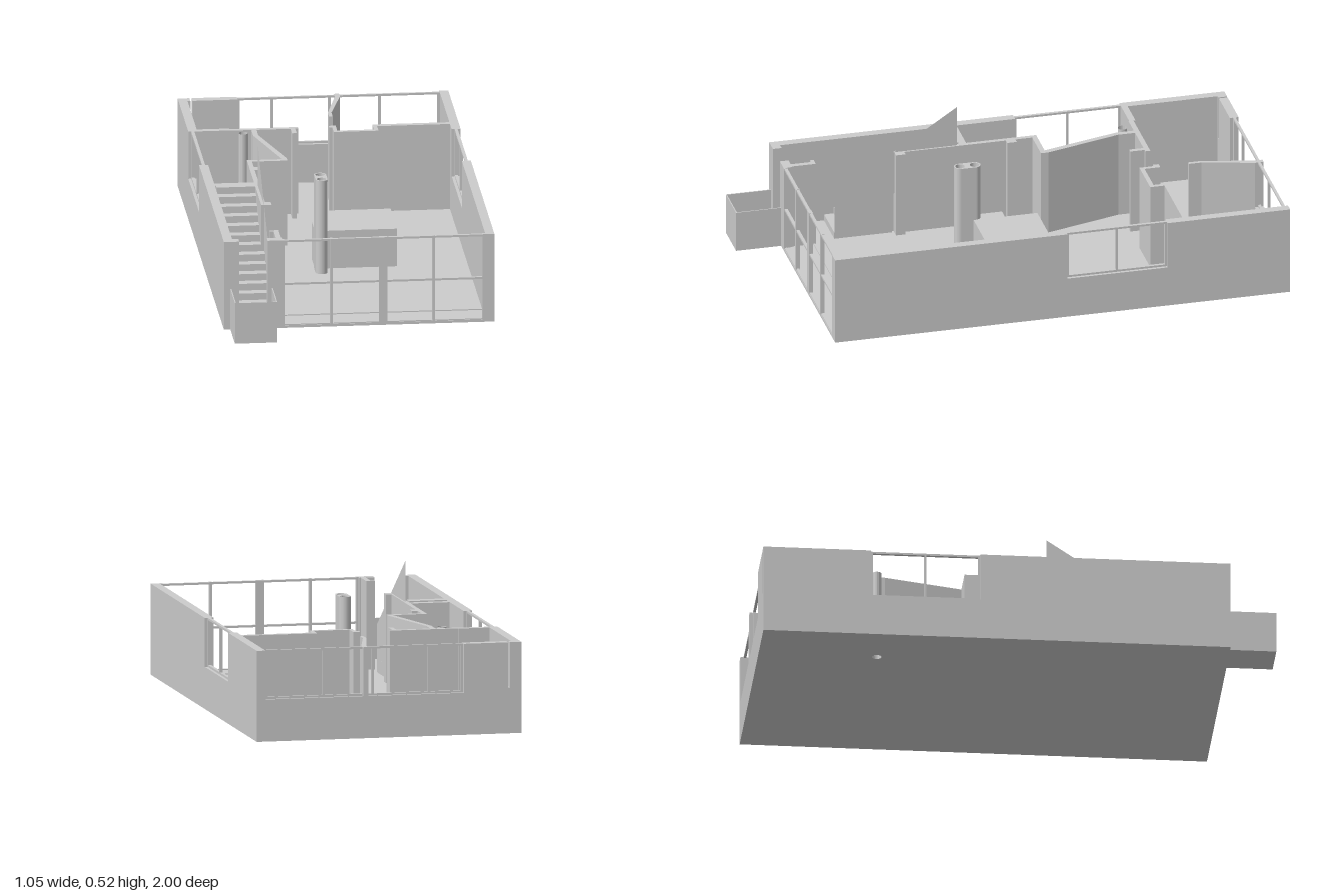
import * as THREE from 'three';

const mat = new THREE.MeshStandardMaterial({ color: 0xcccccc, flatShading: true });
const thin = new THREE.MeshStandardMaterial({ color: 0xcccccc, flatShading: true, side: THREE.DoubleSide });
const H = 0.357;      // wall height
const SILL = 0.165;   // window sill height
const FLOOR = 0.01;

export function createModel() {
  const model = new THREE.Group();

  const add = (name, geometry, material = mat) => {
    const mesh = new THREE.Mesh(geometry, material);
    mesh.name = name;
    model.add(mesh);
    return mesh;
  };

  // Box given by its extents
  const box = (name, x0, x1, z0, z1, y0 = 0, y1 = H) => {
    const g = new THREE.BoxGeometry(x1 - x0, y1 - y0, z1 - z0);
    g.translate((x0 + x1) / 2, (y0 + y1) / 2, (z0 + z1) / 2);
    return add(name, g);
  };

  // Prism raised from a plan outline of [x, z] points
  const planShape = pts => new THREE.Shape(pts.map(([x, z]) => new THREE.Vector2(x, -z)));
  const prism = (name, shape, y0, y1) => {
    const g = new THREE.ExtrudeGeometry(shape, { depth: y1 - y0, bevelEnabled: false, curveSegments: 12 });
    g.rotateX(-Math.PI / 2).translate(0, y0, 0);
    return add(name, g);
  };

  // Floor with a round opening under the pipe
  const floor = planShape([[-0.53, 0.82], [0.525, 0.82], [0.525, -1], [-0.53, -1]]);
  const hole = new THREE.Path();
  hole.absarc(-0.32, 0.54, 0.018, 0, Math.PI * 2, true);
  floor.holes.push(hole);
  prism('floor', floor, 0, FLOOR);

  // Side walls, each with a window opening
  const sideWalls = [['left', 0.49, 0.525, -0.51, -0.11], ['right', -0.53, -0.495, -0.58, -0.155]];
  for (const [side, x0, x1, z0, z1] of sideWalls) {
    box(side + 'WallBack', x0, x1, -1, z0);
    box(side + 'WallSill', x0, x1, z0, z1, 0, SILL);
    box(side + 'WallFront', x0, x1, z1, 0.82);
    const xm = (x0 + x1) / 2, zm = (z0 + z1) / 2, t = 0.004;
    for (const y of [SILL + t, H - t])
      box(side + 'WindowRail', xm - 0.006, xm + 0.006, z0, z1, y - t, y + t);
    for (const z of [z0 + t, zm, z1 - t])
      box(side + 'WindowPost', xm - 0.006, xm + 0.006, z - t, z + t, SILL, H);
  }

  // Back wall: low sill with long window, and a solid end with a narrow slot
  box('backSill', -0.3, 0.49, -1, -0.965, 0, SILL);
  box('backCorner', -0.495, -0.484, -1, -0.965);
  box('backSlotSill', -0.484, -0.476, -1, -0.965, 0, 0.18);
  box('backPier', -0.476, -0.3, -1, -0.965);
  for (const y of [SILL + 0.004, H - 0.004])
    box('backWindowRail', -0.3, 0.49, -0.988, -0.978, y - 0.004, y + 0.004);
  for (const x of [-0.295, -0.165, 0.06, 0.255, 0.485])
    box('backWindowPost', x - 0.005, x + 0.005, -0.988, -0.978, SILL, H);

  // Slanted partition at the back
  prism('backPartition', planShape([
    [0.08, -1], [0.08, -0.965], [0.033, -0.765], [0.033, -0.715],
    [0.047, -0.715], [0.047, -0.765], [0.1, -0.965], [0.1, -1]]), 0, H);

  // Cross wall with a doorway, stubs and a recessed niche
  box('crossWallLeftEnd', -0.495, -0.37, -0.605, -0.58);
  box('crossWallMiddle', -0.37, -0.1, -0.597, -0.577);
  box('crossWallStub', -0.13, -0.112, -0.577, -0.52);
  prism('nicheWall', planShape([
    [0.02, -0.6], [0.02, -0.577], [0.032, -0.577], [0.032, -0.52], [0.206, -0.52], [0.206, -0.577],
    [0.49, -0.577], [0.49, -0.6], [0.19, -0.6], [0.19, -0.537], [0.047, -0.537], [0.047, -0.6]]), 0, H);

  // Slanted hall wall turning back to the stair wall
  prism('hallWall', planShape([
    [-0.285, -0.577], [-0.285, -0.505], [-0.203, -0.2], [-0.34, -0.2], [-0.34, -0.18],
    [-0.182, -0.18], [-0.182, -0.21], [-0.265, -0.51], [-0.265, -0.577]]), 0, H);

  // Stair wall with two small piers
  box('stairWall', -0.34, -0.322, -0.18, 0.37);
  for (const z of [-0.095, 0.35]) box('stairWallPier', -0.322, -0.3, z - 0.018, z + 0.02);
  box('stairBackWall', -0.495, -0.34, 0.08, 0.11);

  // Stairs
  const steps = 13, z0 = 0.61, z1 = 0.11, run = (z0 - z1) / steps, rise = (0.362 - FLOOR) / steps;
  for (let i = 0; i < steps; i++)
    box('step', -0.492, i < 6 ? -0.33 : -0.341, z0 - (i + 1) * run, z0 - i * run, FLOOR, FLOOR + (i + 1) * rise);

  // Thin sloping stair guard
  const guard = new THREE.ShapeGeometry(new THREE.Shape([
    new THREE.Vector2(-0.61, FLOOR), new THREE.Vector2(-0.12, 0.355),
    new THREE.Vector2(-0.12, 0.522), new THREE.Vector2(-0.61, 0.2)]));
  guard.rotateY(Math.PI / 2).translate(-0.329, 0, 0);
  add('stairGuard', guard, thin);

  // Round pipe in the corner
  const pipe = new THREE.CylinderGeometry(0.018, 0.018, H, 16, 1, true);
  pipe.translate(-0.32, H / 2, -0.54);
  add('pipe', pipe, thin);

  // Hearth block and twin-flue chimney
  box('hearth', -0.06, 0.215, -0.135, 0.12, 0, 0.163);
  box('hearthSide', -0.105, -0.06, -0.005, 0.11, 0, 0.163);
  const chimney = new THREE.Shape();
  chimney.absarc(-0.084, -0.11, 0.0235, 0, Math.PI);
  chimney.absarc(-0.084, -0.168, 0.0235, Math.PI, Math.PI * 2);
  for (const y of [-0.11, -0.168]) {
    const flue = new THREE.Path();
    flue.absarc(-0.084, y, 0.018, 0, Math.PI * 2, true);
    chimney.holes.push(flue);
  }
  prism('chimney', chimney, 0, 0.39);

  // Front entrance piers and the wall beside the glazing
  box('entrancePierOuter', -0.495, -0.47, 0.785, 0.82);
  box('entrancePierInner', -0.36, -0.3, 0.785, 0.82);
  box('entranceSideWall', -0.325, -0.305, 0.7, 0.785);
  box('entranceSideWallEnd', -0.34, -0.305, 0.69, 0.705);

  // Front glazing frame
  for (const y of [FLOOR, 0.178, H - 0.005])
    box('frontRail', -0.3, 0.49, 0.806, 0.818, y - 0.004, y + 0.004);
  for (const [x, w] of [[-0.297, 0.005], [-0.11, 0.005], [0.092, 0.016], [0.288, 0.005], [0.484, 0.006]])
    box('frontPost', x - w, x + w, 0.804, 0.82, 0, H);
  box('glazingStep', -0.3, 0.49, 0.692, 0.7, FLOOR, FLOOR + 0.004);

  // Open porch box
  box('porchFloor', -0.505, -0.34, 0.82, 1, 0, 0.004);
  box('porchFront', -0.505, -0.34, 0.996, 1, 0, SILL);
  box('porchRightSide', -0.505, -0.501, 0.82, 0.996, 0, SILL);
  box('porchLeftSide', -0.344, -0.34, 0.82, 0.996, 0, SILL);

  return model;
}
